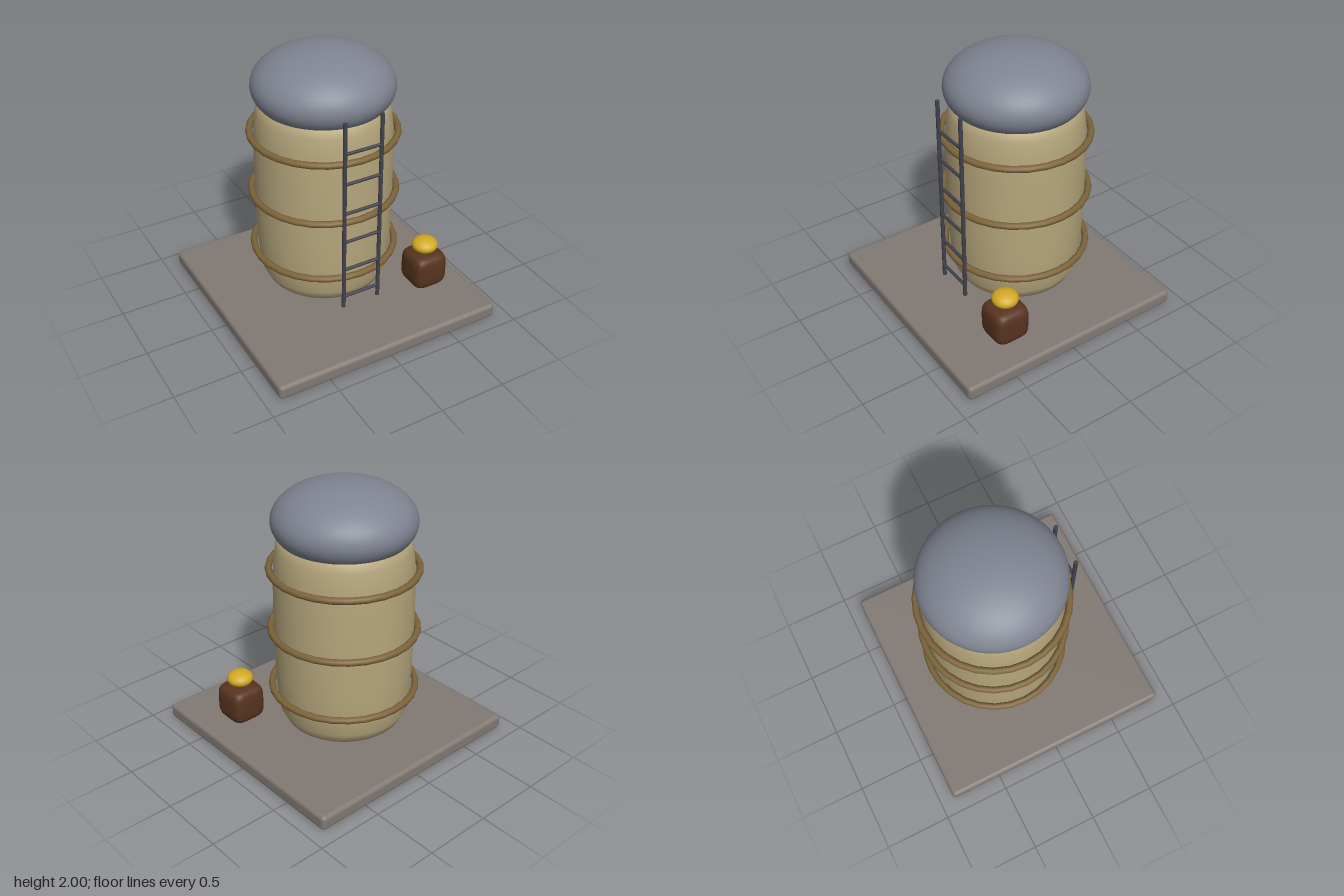
import * as THREE from 'three';
import { mergeVertices } from 'three/addons/utils/BufferGeometryUtils.js';
import { RoundedBoxGeometry } from 'three/addons/geometries/RoundedBoxGeometry.js';

const mat = (name, color) => {
  const m = new THREE.MeshStandardMaterial({ color });
  m.name = name;
  return m;
};

// Soft cube: box grid pushed onto a superellipsoid
function softCube(size, power) {
  let g = new THREE.BoxGeometry(2, 2, 2, 12, 12, 12);
  g.deleteAttribute('uv');
  g.deleteAttribute('normal');
  g = mergeVertices(g);
  const p = g.attributes.position;
  const v = new THREE.Vector3();
  for (let i = 0; i < p.count; i++) {
    v.fromBufferAttribute(p, i);
    const sum = Math.abs(v.x) ** power + Math.abs(v.y) ** power + Math.abs(v.z) ** power;
    v.multiplyScalar(size / 2 / sum ** (1 / power));
    p.setXYZ(i, v.x, v.y, v.z);
  }
  g.computeVertexNormals();
  return g;
}

export function createModel() {
  const model = new THREE.Group();
  model.name = 'storageTank';
  const stone = mat('stone', 0x827a73);
  const cream = mat('cream', 0xb5a67c);
  const slate = mat('slate', 0x7f8491);
  const bronze = mat('bronze', 0x7c643a);
  const iron = mat('iron', 0x41424c);
  const brown = mat('brown', 0x57341f);
  const yellow = mat('yellow', 0xd2aa25);

  const add = (parent, name, geometry, material, x, y, z) => {
    const mesh = new THREE.Mesh(geometry, material);
    mesh.name = name;
    mesh.position.set(x, y, z);
    parent.add(mesh);
    return mesh;
  };

  // Base slab
  add(model, 'base', new RoundedBoxGeometry(1.79, 0.112, 1.79, 4, 0.03), stone, 0, 0.056, 0);

  // Tank body, roof and hoops share one axis
  const tank = new THREE.Group();
  tank.name = 'tank';
  tank.position.z = -0.1;
  model.add(tank);
  const profile = [
    [0, 0.113], [0.25, 0.118], [0.36, 0.135], [0.435, 0.18], [0.475, 0.26], [0.49, 0.4],
    [0.5, 0.58], [0.505, 0.9], [0.502, 1.25], [0.495, 1.42], [0.478, 1.54], [0.455, 1.61],
    [0.38, 1.67], [0, 1.7],
  ].map(([r, y]) => new THREE.Vector2(r, y));
  add(tank, 'body', new THREE.LatheGeometry(profile, 48), cream, 0, 0, 0);

  const roof = new THREE.SphereGeometry(0.51, 48, 32).scale(1, 0.275 / 0.51, 1);
  add(tank, 'roof', roof, slate, 0, 1.725, 0);

  const hoop = new THREE.TorusGeometry(0.53, 0.025, 10, 28).rotateX(Math.PI / 2);
  for (const y of [0.43, 0.902, 1.374]) add(tank, 'hoop', hoop, bronze, 0, y, 0);

  // Ladder on the front
  const ladder = new THREE.Group();
  ladder.name = 'ladder';
  ladder.position.z = 0.446;
  model.add(ladder);
  const rail = new THREE.CylinderGeometry(0.015, 0.015, 1.51, 10);
  for (const side of [-1, 1]) add(ladder, 'ladderRail', rail, iron, side * 0.143, 0.95, 0);
  const rung = new THREE.CylinderGeometry(0.012, 0.012, 0.286, 8).rotateZ(Math.PI / 2);
  for (let i = 0; i < 6; i++) add(ladder, 'rung', rung, iron, 0, 0.286 + i * 0.2368, 0);

  // Sack with a yellow heap on top
  add(model, 'sack', softCube(0.275, 4.5), brown, 0.585, 0.268, 0.395);
  const heap = new THREE.SphereGeometry(0.097, 28, 18).scale(1, 0.6, 1);
  add(model, 'heap', heap, yellow, 0.585, 0.46, 0.395);

  return model;
}
